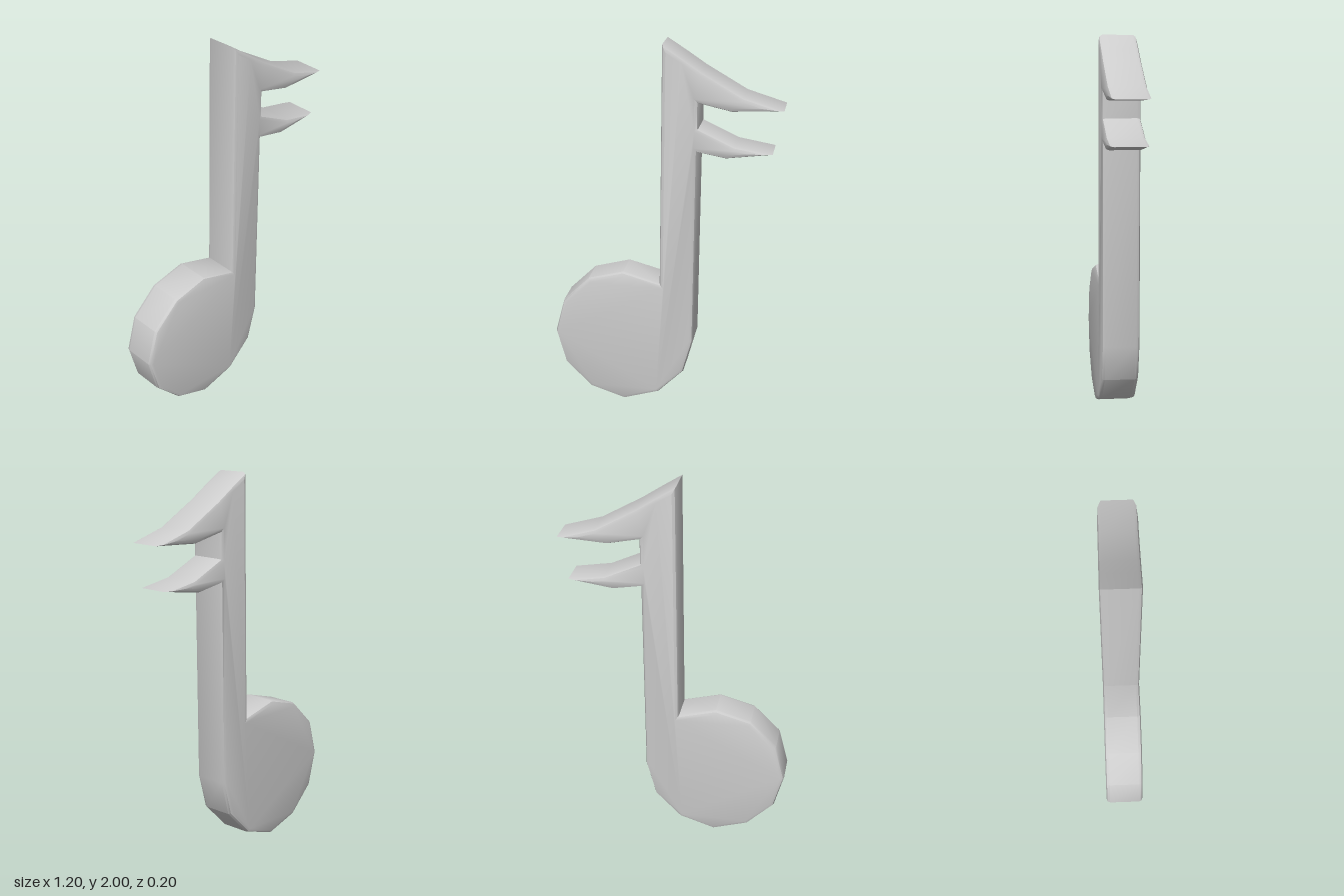
import * as THREE from 'three';
import { toCreasedNormals } from 'three/addons/utils/BufferGeometryUtils.js';

const HALF_DEPTH = 0.1;
const BEVEL = 0.02;

// Clockwise silhouette of the note
const outline = [
  // upper flag
  [-0.01, 2], [0.1, 1.93], [0.19, 1.87], [0.4, 1.75], [0.6, 1.69], [0.34, 1.675], [0.175, 1.71],
  // lower flag
  [0.175, 1.58], [0.36, 1.495], [0.55, 1.463], [0.315, 1.43], [0.17, 1.455],
  // twelve-sided head, running into the stem
  [0.156, 0.39], [0.105, 0.2], [-0.033, 0.06], [-0.222, 0], [-0.41, 0.06], [-0.55, 0.2],
  [-0.6, 0.385], [-0.55, 0.575], [-0.41, 0.713], [-0.222, 0.765], [-0.025, 0.713],
].map(([x, y]) => new THREE.Vector2(x, y)).reverse();

// Moves every edge of a counter-clockwise outline inwards, with mitred corners
function inset(points, distance) {
  const n = points.length;
  const inward = (a, b) => new THREE.Vector2(a.y - b.y, b.x - a.x).normalize();
  return points.map((p, i) => {
    const n1 = inward(points[(i + n - 1) % n], p);
    const n2 = inward(p, points[(i + 1) % n]);
    return n1.clone().add(n2).multiplyScalar(distance / (1 + n1.dot(n2))).add(p);
  });
}

// Plate with rounded rims: rings from front to back, closed by two caps
function bevelledPlate(points, halfDepth, bevel, segments) {
  const rings = [];
  for (let k = 0; k <= segments; k++) {
    const a = (k / segments) * Math.PI / 2;
    rings.push({
      pts: inset(points, bevel * (1 - Math.sin(a))),
      z: halfDepth - bevel * (1 - Math.cos(a)),
    });
  }
  rings.push(...rings.map(({ pts, z }) => ({ pts, z: -z })).reverse());

  const n = points.length;
  const positions = rings.flatMap(({ pts, z }) => pts.flatMap((p) => [p.x, p.y, z]));
  const index = [];
  for (let r = 0; r < rings.length - 1; r++) {
    for (let i = 0; i < n; i++) {
      const j = (i + 1) % n;
      const a = r * n + i, b = a + n, c = (r + 1) * n + j, d = r * n + j;
      index.push(a, b, c, a, c, d);
    }
  }
  const back = (rings.length - 1) * n;
  for (const [a, b, c] of THREE.ShapeUtils.triangulateShape(rings[0].pts, [])) {
    index.push(a, b, c, back + c, back + b, back + a);
  }

  const geometry = new THREE.BufferGeometry();
  geometry.setAttribute('position', new THREE.Float32BufferAttribute(positions, 3));
  geometry.setIndex(index);
  return toCreasedNormals(geometry, 0.6);
}

export function createModel() {
  const group = new THREE.Group();
  group.name = 'musicalNote';
  const note = new THREE.Mesh(
    bevelledPlate(outline, HALF_DEPTH, BEVEL, 2),
    new THREE.MeshStandardMaterial({ color: 0xcccccc }),
  );
  note.name = 'noteBody';
  group.add(note);
  return group;
}
